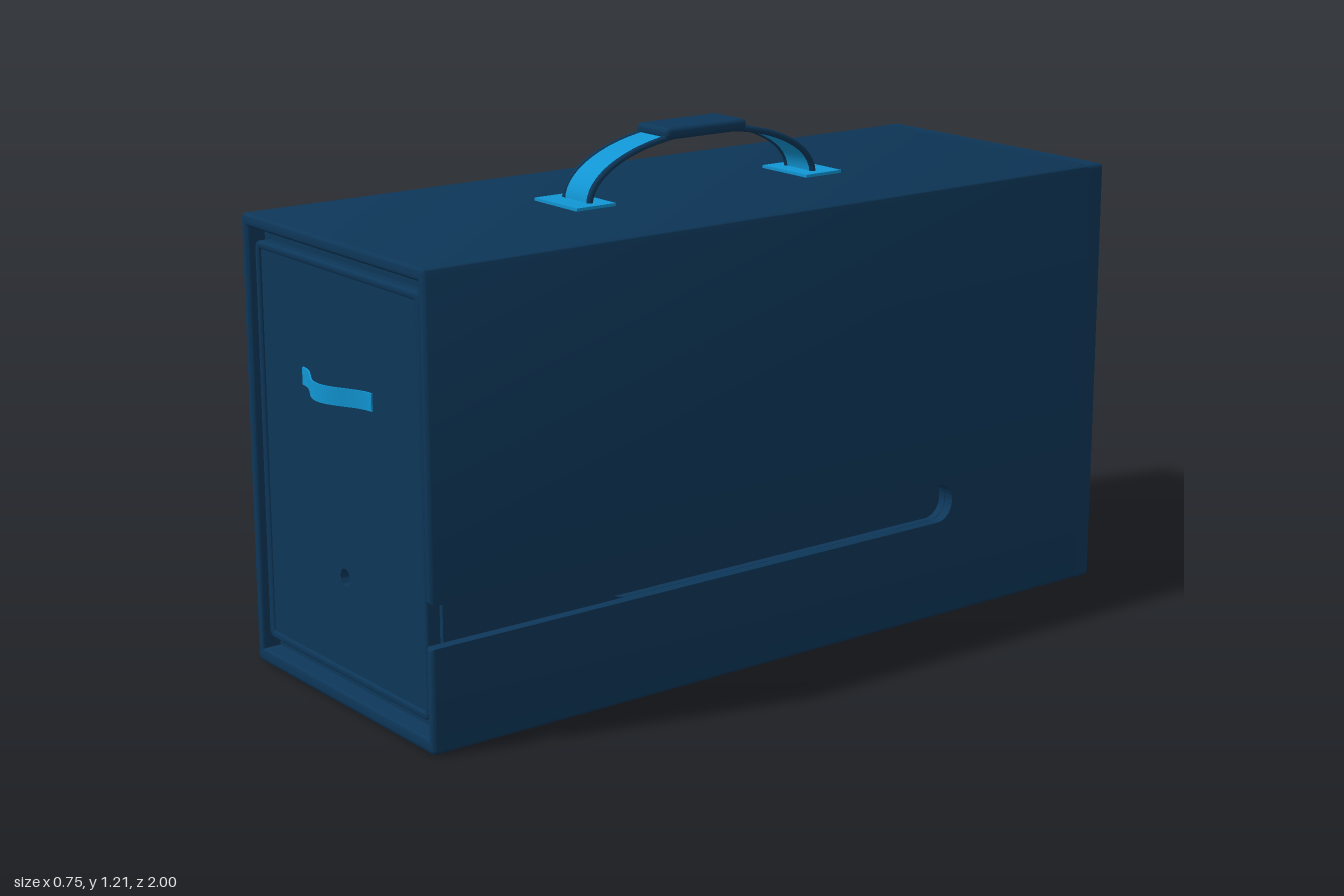
import * as THREE from 'three';
import { toCreasedNormals } from 'three/addons/utils/BufferGeometryUtils.js';
import { RoundedBoxGeometry } from 'three/addons/geometries/RoundedBoxGeometry.js';

const navy = new THREE.MeshStandardMaterial({ color: 0x0d3658 });
navy.name = 'navy';
const blue = new THREE.MeshStandardMaterial({ color: 0x1195d3 });
blue.name = 'bright blue';

const W = 0.375, H = 1.055, SLOT_LOW = 0.24, SLOT_HIGH = 0.335;
const SLOT_Y = (SLOT_LOW + SLOT_HIGH) / 2, SLOT_R = (SLOT_HIGH - SLOT_LOW) / 2;

function createModel() {
  const model = new THREE.Group();
  model.name = 'drawerCase';

  const add = (name, geometry, material, x = 0, y = 0, z = 0) => {
    const mesh = new THREE.Mesh(geometry, material);
    mesh.name = name;
    mesh.position.set(x, y, z);
    model.add(mesh);
    return mesh;
  };
  const extrude = (shape, depth, bevel = 0) => toCreasedNormals(new THREE.ExtrudeGeometry(shape, {
    depth: depth - 2 * bevel, curveSegments: 14, bevelEnabled: bevel > 0,
    bevelSize: bevel, bevelThickness: bevel, bevelOffset: -bevel, bevelSegments: 3,
  }).translate(0, 0, bevel), 0.6);
  // Turns a (z, y) outline into a plate whose outer face points to +x
  const sidePlate = (shape, depth) => extrude(shape, depth).rotateY(-Math.PI / 2);
  const roundRect = (Type, x0, y0, x1, y1, r) => {
    const s = new Type();
    s.moveTo(x0 + r, y0);
    s.lineTo(x1 - r, y0);
    s.absarc(x1 - r, y0 + r, r, -Math.PI / 2, 0);
    s.lineTo(x1, y1 - r);
    s.absarc(x1 - r, y1 - r, r, 0, Math.PI / 2);
    s.lineTo(x0 + r, y1);
    s.absarc(x0 + r, y1 - r, r, Math.PI / 2, Math.PI);
    s.lineTo(x0, y0 + r);
    s.absarc(x0 + r, y0 + r, r, Math.PI, Math.PI * 1.5);
    return s;
  };

  // Outer sleeve: a C-shaped section, open along the slot in the left wall
  const r = 0.014, ix = 0.35, iLow = 0.033, iHigh = 1.025;
  const section = new THREE.Shape();
  section.moveTo(W, SLOT_HIGH);
  section.lineTo(W, H - r);
  section.absarc(W - r, H - r, r, 0, Math.PI / 2);
  section.lineTo(-W + r, H);
  section.absarc(-W + r, H - r, r, Math.PI / 2, Math.PI);
  section.lineTo(-W, r);
  section.absarc(-W + r, r, r, Math.PI, Math.PI * 1.5);
  section.lineTo(W - r, 0);
  section.absarc(W - r, r, r, -Math.PI / 2, 0);
  [[W, SLOT_LOW], [ix, SLOT_LOW], [ix, iLow], [-ix, iLow], [-ix, iHigh], [ix, iHigh], [ix, SLOT_HIGH]]
    .forEach(([x, y]) => section.lineTo(x, y));
  add('caseSleeve', extrude(section, 1.945, 0.009), navy, 0, 0, -0.985);
  add('caseBack', new RoundedBoxGeometry(2 * W, H, 0.06, 4, 0.012), navy, 0, H / 2, -0.97);

  // Closed rear length of the slot, with a round end
  const slotEnd = new THREE.Shape();
  slotEnd.moveTo(-0.98, SLOT_LOW);
  slotEnd.lineTo(-0.4725, SLOT_LOW);
  slotEnd.absarc(-0.4725, SLOT_Y, SLOT_R, -Math.PI / 2, Math.PI / 2, true);
  slotEnd.lineTo(-0.98, SLOT_HIGH);
  add('slotEnd', sidePlate(slotEnd, 0.025), navy, W);

  // Drawer body and its slotted side
  add('drawerBody', new THREE.BoxGeometry(0.679, 0.99, 1.865), navy, -0.0095, 0.529, -0.0175);
  const side = new THREE.Shape();
  side.moveTo(-0.95, 0.034);
  side.lineTo(0.915, 0.034);
  side.lineTo(0.915, 1.024);
  side.lineTo(-0.95, 1.024);
  side.holes.push(roundRect(THREE.Path, -0.52, SLOT_LOW, 0.485, SLOT_HIGH, SLOT_R - 0.0001));
  add('drawerSide', sidePlate(side, 0.019), navy, 0.349);

  // Drawer front: rounded rim around a panel with a finger hole
  const rim = roundRect(THREE.Shape, -0.338, 0.065, 0.338, 0.997, 0.018);
  rim.holes.push(roundRect(THREE.Path, -0.32, 0.082, 0.32, 0.979, 0.003));
  add('drawerRim', extrude(rim, 0.036, 0.005), navy, 0, 0, 0.912);
  const panel = roundRect(THREE.Shape, -0.325, 0.077, 0.325, 0.984, 0.003);
  const hole = new THREE.Path();
  hole.absarc(0, 0.296, 0.02, 0, Math.PI * 2);
  panel.holes.push(hole);
  add('drawerPanel', extrude(panel, 0.03), navy, 0, 0, 0.912);

  // Pull strap: a flat ribbon bowed out from the panel
  const pull = new THREE.Shape();
  const bow = x => 0.95 + 0.024 * (1 + Math.cos(Math.PI * x / 0.143));
  for (let i = 0; i <= 32; i++) {
    const x = -0.143 + 0.286 * i / 32;
    pull[i ? 'lineTo' : 'moveTo'](x, -bow(x));
  }
  for (let i = 32; i >= 0; i--) {
    const x = -0.143 + 0.286 * i / 32;
    pull.lineTo(x, -bow(x) + 0.004);
  }
  add('drawerPull', extrude(pull, 0.04).rotateX(-Math.PI / 2), blue, 0, 0.705, 0);

  // Carry handle: arched strap with piped edges
  const midZ = -0.02;
  const arch = (a, b) => Array.from({ length: 33 }, (_, i) => {
    const t = Math.PI * i / 32;
    return new THREE.Vector2(midZ + a * Math.cos(t), 1.057 + b * Math.sin(t));
  });
  const strap = new THREE.Shape([...arch(0.332, 0.141), ...arch(0.324, 0.133).reverse()]);
  add('handleStrap', sidePlate(strap, 0.094), blue, 0.047);
  const edge = new THREE.CatmullRomCurve3(arch(0.328, 0.137).map(p => new THREE.Vector3(0, p.y, p.x)));
  for (const s of [-1, 1]) {
    add('handlePiping', new THREE.TubeGeometry(edge, 48, 0.0075, 8), navy, s * 0.047);
    add('handleBase', new THREE.BoxGeometry(0.164, 0.008, 0.108), blue, 0, 1.058, midZ + s * 0.334);
  }
  add('handleGrip', new RoundedBoxGeometry(0.12, 0.028, 0.235, 4, 0.012), navy, 0, 1.196, midZ);

  return model;
}

export { createModel };
